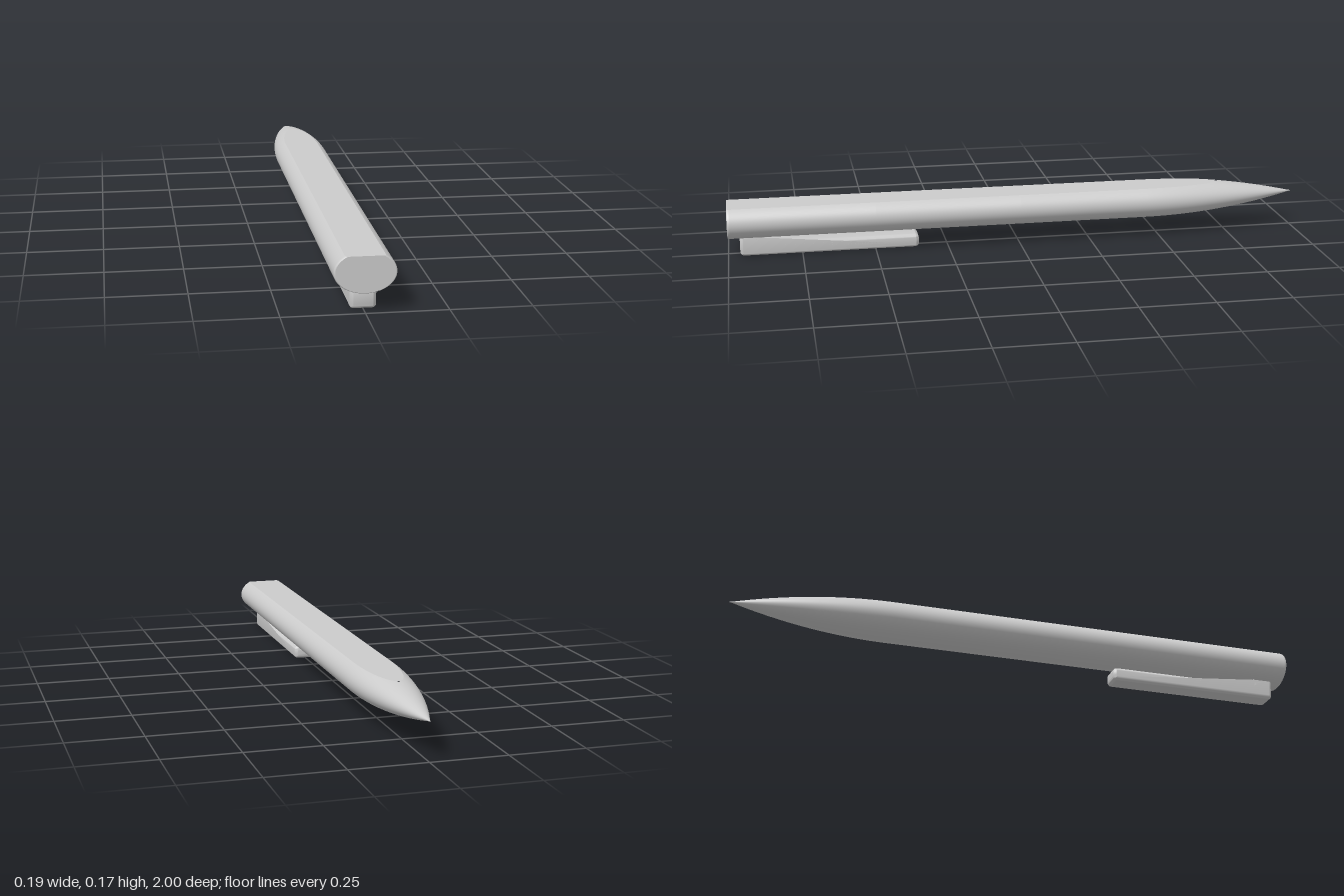
import * as THREE from 'three';
import { toCreasedNormals } from 'three/addons/utils/BufferGeometryUtils.js';

const RX = 0.094, RY = 0.065, CY = 0.127, FLAT = 0.05; // oval section, flattened on top
const TAPER = -0.45, BEVEL = 0.99;

// Section scale along z: rounded rim, straight barrel, parabolic nose
function scaleAt(z) {
  if (z > BEVEL) {
    const u = Math.min(1, (z - BEVEL) / (1 - BEVEL));
    return 1 - 0.05 * (1 - Math.sqrt(1 - u * u));
  }
  if (z >= TAPER) return 1;
  const t = (TAPER - z) / (1 + TAPER);
  return Math.max(0.015, 1 - t * t);
}

// Angle at which the oval meets the flat
const cutAngle = (s) => Math.asin(Math.min(1, FLAT / (RY * s)));

// Grid of points(row, fraction) joined into quads
function loft(rows, segs, point) {
  const pos = [], nor = [], idx = [];
  rows.forEach((z, i) => {
    for (let j = 0; j <= segs; j++) {
      const { p, n } = point(z, j / segs);
      pos.push(...p);
      nor.push(...n.normalize().toArray());
      if (i && j) {
        const d = i * (segs + 1) + j, c = d - 1, b = d - segs - 1, a = b - 1;
        idx.push(a, c, b, b, c, d);
      }
    }
  });
  const g = new THREE.BufferGeometry();
  g.setAttribute('position', new THREE.Float32BufferAttribute(pos, 3));
  g.setAttribute('normal', new THREE.Float32BufferAttribute(nor, 3));
  g.setIndex(idx);
  return g;
}

function ovalPoint(z, f) {
  const s = scaleAt(z), a = cutAngle(s);
  const th = Math.PI - a + f * (Math.PI + 2 * a);
  const x = RX * s * Math.cos(th), y = RY * s * Math.sin(th);
  const e = 0.0005, hi = Math.min(1, z + e), lo = Math.max(-1, z - e);
  const ds = (scaleAt(hi) - scaleAt(lo)) / (hi - lo);
  return { p: [x, CY + y, z], n: new THREE.Vector3(x / RX ** 2, y / RY ** 2, -s * ds) };
}

function flatPoint(z, f) {
  const s = scaleAt(z), a = cutAngle(s);
  const x = RX * s * Math.cos(a) * (1 - 2 * f);
  return { p: [x, CY + RY * s * Math.sin(a), z], n: new THREE.Vector3(0, 1, 0) };
}

// Flat end face
function endCap(z) {
  const pts = [];
  for (let j = 0; j <= 64; j++) {
    const { p } = ovalPoint(z, j / 64);
    pts.push(new THREE.Vector2(p[0], p[1]));
  }
  return new THREE.ShapeGeometry(new THREE.Shape(pts)).translate(0, 0, z);
}

// Closed outline with rounded corners; each corner is [z, y, radius]
function roundedShape(corners) {
  const shape = new THREE.Shape(), n = corners.length;
  corners.forEach(([x, y, r], i) => {
    const c = new THREE.Vector2(x, y);
    const toward = ([u, v]) => new THREE.Vector2(u, v).sub(c).setLength(r).add(c);
    const a = toward(corners[(i + n - 1) % n]), b = toward(corners[(i + 1) % n]);
    if (i) shape.lineTo(a.x, a.y); else shape.moveTo(a.x, a.y);
    shape.quadraticCurveTo(x, y, b.x, b.y);
  });
  shape.closePath();
  return shape;
}

export function createModel() {
  const group = new THREE.Group();
  const mat = new THREE.MeshStandardMaterial({ color: 0xcccccc });
  const add = (name, geo) => {
    const m = new THREE.Mesh(geo, mat);
    m.name = name;
    group.add(m);
  };

  // Barrel and nose stations, front to tip
  const rows = [1, 0.9995, 0.998, 0.995, BEVEL, 0.5, 0, TAPER];
  for (let i = 1; i <= 48; i++) rows.push(TAPER - (1 + TAPER) * i / 48);

  add('barrel', loft(rows, 72, ovalPoint));
  // The flat ends where the nose drops below it
  const flatEnd = TAPER - (1 + TAPER) * Math.sqrt(1 - FLAT / RY);
  add('flatTop', loft([...rows.filter((z) => z > flatEnd), flatEnd], 2, flatPoint));
  add('endCap', endCap(1));
  add('tip', endCap(-1).rotateY(Math.PI).translate(0, 0, -2));

  // Clip: L-shaped side outline extruded across x with rounded edges
  const outline = roundedShape([
    [0.35, 0.003, 0.016], [0.96, 0.003, 0.016], [0.96, 0.085, 0.014],
    [0.88, 0.085, 0.014], [0.88, 0.049, 0.008], [0.35, 0.049, 0.016],
  ]);
  const b = 0.012, width = 0.08;
  const clip = new THREE.ExtrudeGeometry(outline, {
    depth: width - 2 * b, bevelThickness: b, bevelSize: b, bevelOffset: -b,
    bevelSegments: 5, curveSegments: 8,
  });
  clip.translate(0, 0, -(width - 2 * b) / 2).rotateY(-Math.PI / 2);
  add('clip', toCreasedNormals(clip, 0.7));

  return group;
}
